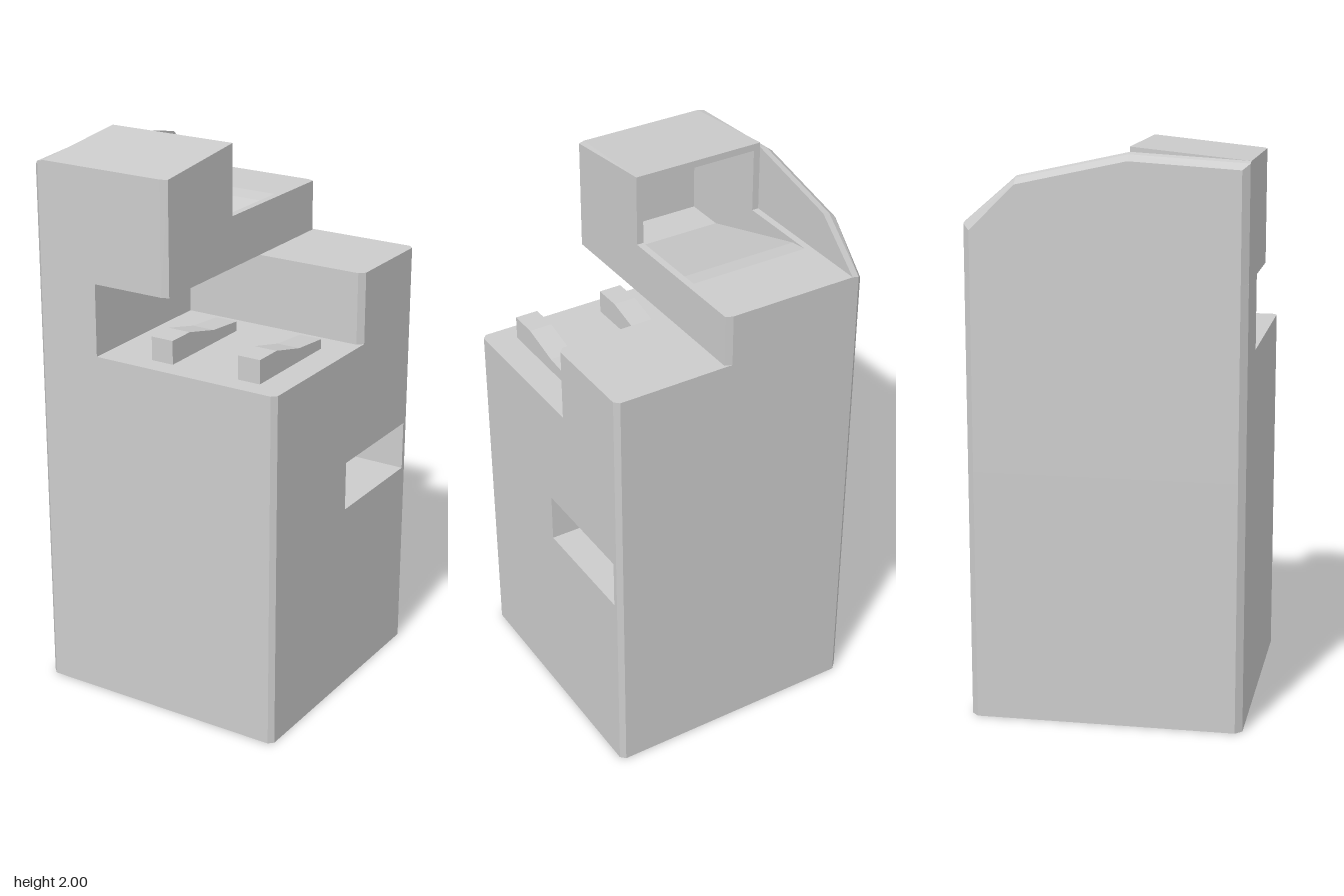
import * as THREE from 'three';

const material = new THREE.MeshStandardMaterial({ color: 0xcccccc, flatShading: true });

function mesh(name, geometry) {
  geometry.computeVertexNormals();
  const m = new THREE.Mesh(geometry, material);
  m.name = name;
  return m;
}

// Plan outline of [x, z] points, raised from y0 to y1
function plan(name, points, y0, y1) {
  const shape = new THREE.Shape(points.map(([x, z]) => new THREE.Vector2(x, -z)));
  const g = new THREE.ExtrudeGeometry(shape, { depth: y1 - y0, bevelEnabled: false });
  g.rotateX(-Math.PI / 2).translate(0, y0, 0);
  return mesh(name, g);
}

// Side profile of [z, y] points, swept from x0 to x1; rule may move the vertices
function profile(name, points, x0, x1, rule, steps = 1) {
  const shape = new THREE.Shape(points.map(([z, y]) => new THREE.Vector2(-z, y)));
  const g = new THREE.ExtrudeGeometry(shape, { depth: x1 - x0, steps, bevelEnabled: false });
  g.rotateY(Math.PI / 2).translate(x0, 0, 0);
  if (rule) {
    const p = g.attributes.position, v = new THREE.Vector3();
    for (let i = 0; i < p.count; i++) {
      rule(v.fromBufferAttribute(p, i));
      p.setXYZ(i, v.x, v.y, v.z);
    }
  }
  return mesh(name, g);
}

export function createModel() {
  const model = new THREE.Group();
  const H = 0.48, c = 0.024, d = 0.017;
  const back = [[H, -H + d], [H - d, -H], [-H + c, -H], [-H, -H + c]];
  const frontLeft = [[-H, H - c], [-H + c, H]];
  const frontRight = [[H - d, H], [H, H - d]];
  const full = [...back, ...frontLeft, ...frontRight];

  // Cabinet, with a slot cut into one side
  model.add(plan('lowerBody', full, 0, 0.71));
  const slot = [[H, -0.01], [0.18, -0.01], [0.18, -0.445], [H, -0.445]];
  model.add(plan('slottedBody', [...full, ...slot], 0.71, 0.89));
  model.add(plan('upperBody', full, 0.89, 1.3));

  // Block behind the shelf, wrapping round under the tower
  model.add(plan('shelfSurround', [
    ...back, ...frontLeft, [-0.23, H], [-0.23, -0.1], [H - 0.02, -0.1], [H, -0.12],
  ], 1.3, 1.56));

  // Tower: hollow middle with a sloping chute, flanked by solid cheeks
  const base = 1.56, deck = 1.745, ridge = 0.08;
  const outer = [[ridge, 2], [H, 1.96], [H, base], [-H, base], [-H, deck]];
  model.add(profile('chute', [
    ...outer, [-0.24, deck], [-0.17, 1.735], [0.31, 1.585], [0.46, 1.585], [0.46, 1.945], [ridge, 1.975],
  ], -0.405, 0.04));
  const cheek = [...outer, [ridge, deck]];
  model.add(profile('innerCheek', cheek, -0.43, -0.405));
  model.add(profile('outerCheek', cheek, 0.04, 0.065, (v) => {
    if (v.x > 0.06) v.z = THREE.MathUtils.clamp(v.z, -0.47, 0.47);
  }));

  // Tall side panel with bevelled outer edges
  model.add(profile('sidePanel', [
    [H, base], [-H, base], [-H, deck], [-0.3, 1.9], [ridge, 1.983], [H, 1.96],
  ], -H, -0.43, (v) => {
    const outside = v.x < -0.47;
    if (v.y > 1.6) v.y -= outside ? 0.026 : v.x < -0.44 ? 0.006 : 0;
    if (outside) v.z = THREE.MathUtils.clamp(v.z, -H + c, H - c);
  }, 2));

  // Two shaped rails on the shelf
  for (const x of [-0.053, 0.291]) {
    model.add(profile('shelfRail', [
      [0.405, 1.3], [0, 1.3], [0, 1.335], [0.15, 1.348], [0.3, 1.385], [0.405, 1.385],
    ], x, x + 0.085));
  }
  return model;
}
